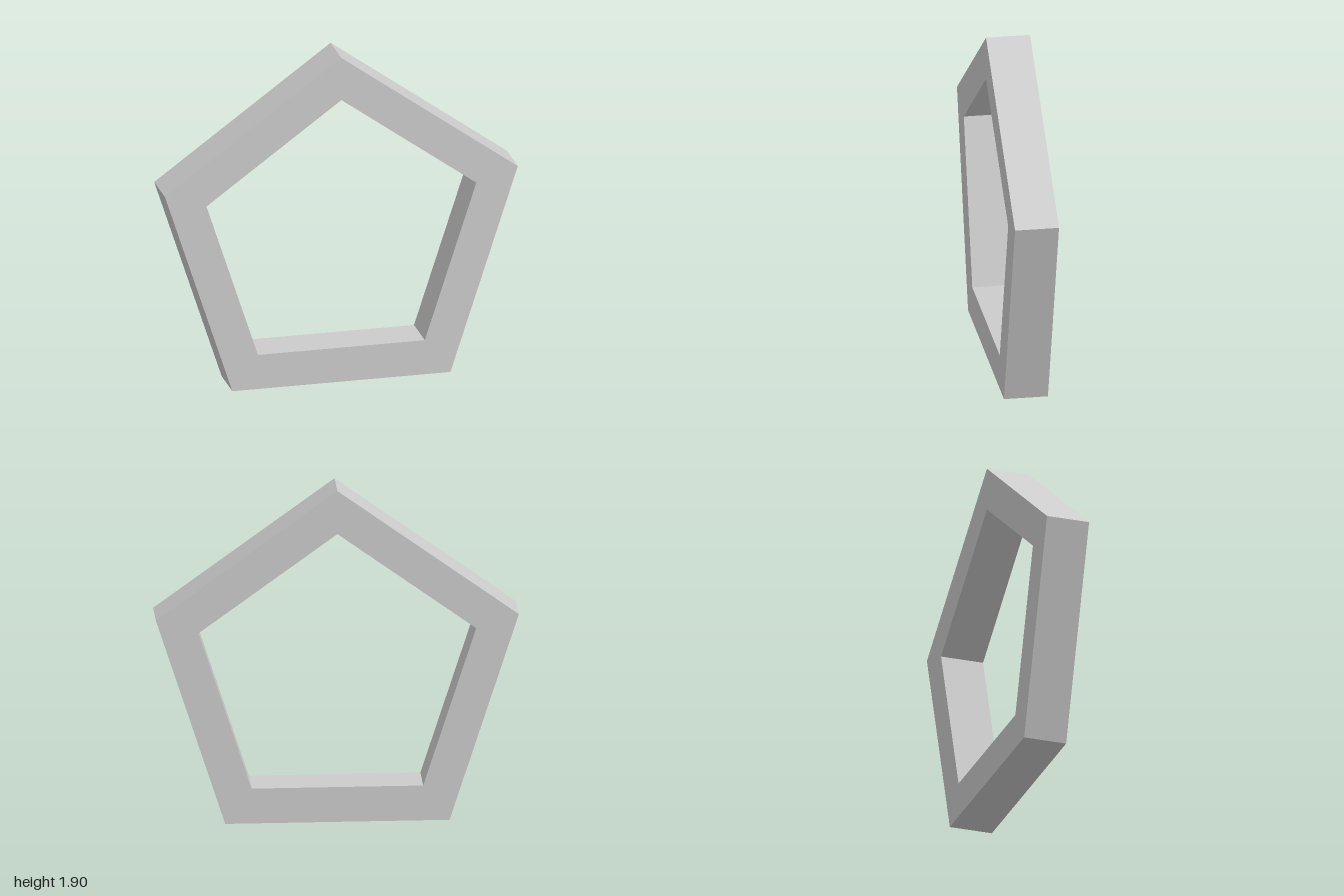
import * as THREE from 'three';

const SIDES = 5;
const OUTER = 1 / Math.cos(Math.PI / 10); // corner radius for a width of 2
const APOTHEM = OUTER * Math.cos(Math.PI / SIDES);
const BAR = 0.2; // width of the frame bars
const INNER = (APOTHEM - BAR) / Math.cos(Math.PI / SIDES);
const DEPTH = 0.245;

// Corners of a regular pentagon with one point at the top
function pentagon(radius) {
  return Array.from({ length: SIDES }, (_, i) => {
    const a = Math.PI / 2 + (i * 2 * Math.PI) / SIDES;
    return new THREE.Vector2(Math.cos(a) * radius, Math.sin(a) * radius + APOTHEM);
  });
}

export function createModel() {
  const group = new THREE.Group();
  group.name = 'pentagonFrame';

  // Flat-sided ring: outer pentagon with a pentagonal opening
  const shape = new THREE.Shape(pentagon(OUTER));
  shape.holes.push(new THREE.Path(pentagon(INNER)));
  const geometry = new THREE.ExtrudeGeometry(shape, { depth: DEPTH, bevelEnabled: false });
  geometry.translate(0, 0, -DEPTH / 2);

  const material = new THREE.MeshStandardMaterial({ color: 0xcccccc, flatShading: true });
  const frame = new THREE.Mesh(geometry, material);
  frame.name = 'frame';
  group.add(frame);
  return group;
}
